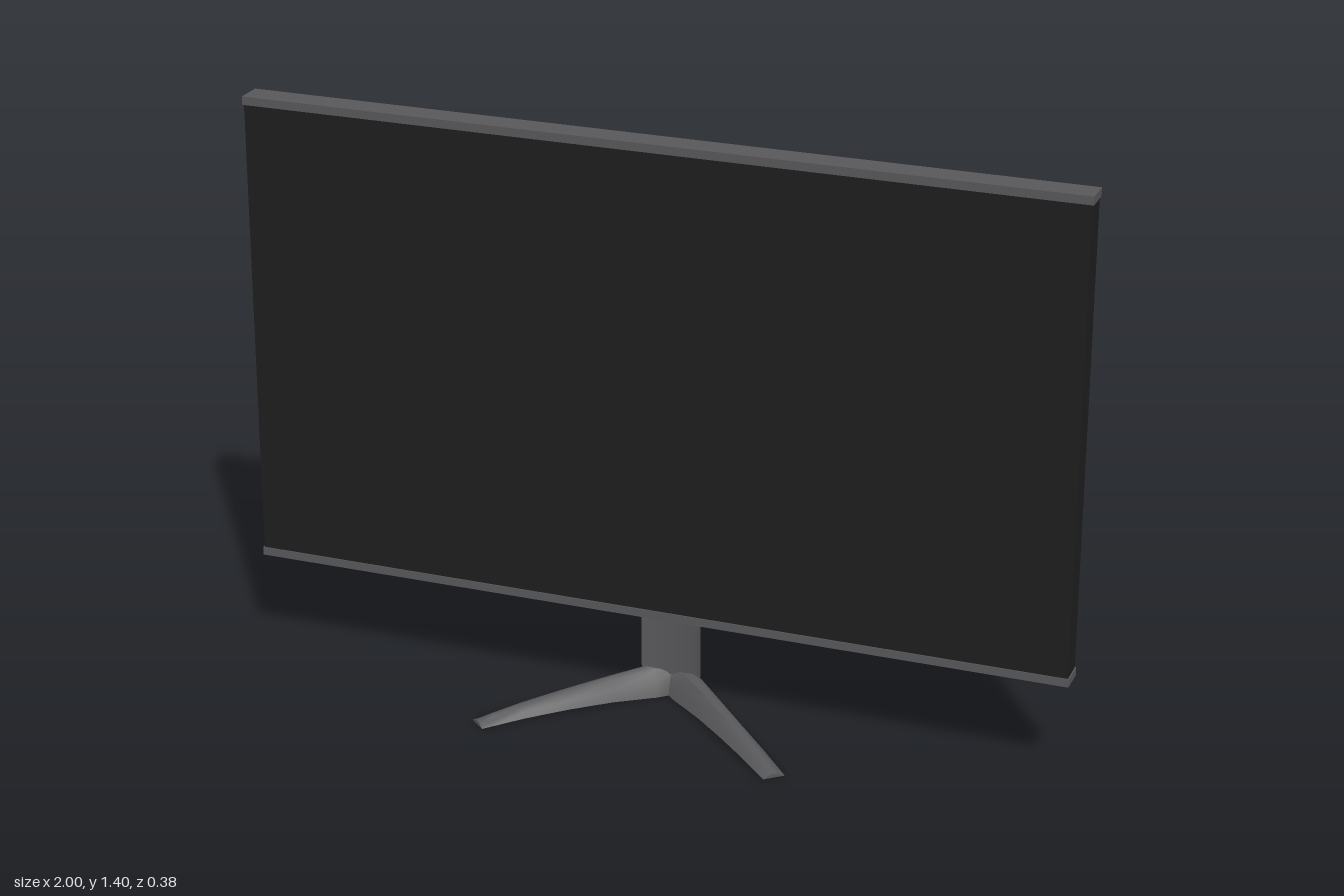
import * as THREE from 'three';
import { toCreasedNormals } from 'three/addons/utils/BufferGeometryUtils.js';

const CX = 0.008; // stand centre line

// V-shaped foot: lofted ring sections running from one toe, round the hub, to the other toe
function footGeometry() {
  // outer x, outer z, inner x, inner z, height, underside lift
  const half = [
    [0, -0.195, 0, -0.13, 0.068, 0],
    [0.066, -0.195, 0.022, -0.11, 0.066, 0],
    [0.146, -0.11, 0.105, -0.035, 0.056, 0.008],
    [0.226, -0.023, 0.187, 0.04, 0.045, 0.01],
    [0.306, 0.063, 0.27, 0.115, 0.031, 0.007],
    [0.362, 0.123, 0.324, 0.164, 0.018, 0.002],
    [0.387, 0.15, 0.347, 0.185, 0.009, 0],
  ];
  const mirrored = half.slice(1).reverse().map(([a, b, c, ...r]) => [-a, b, -c, ...r]);
  const stations = [...mirrored, ...half];
  // position across the leg, share of the height
  const section = [[0, 0], [0.2, 0.55], [0.36, 0.92], [0.5, 1], [0.66, 0.9], [0.84, 0.52], [1, 0]];
  const n = section.length;
  const pos = [];
  for (const [ox, oz, ix, iz, h, lift] of stations)
    for (const [t, s] of section)
      pos.push(CX + ox + (ix - ox) * t, lift + (h - lift) * s, oz + (iz - oz) * t);
  const index = [];
  for (let i = 0; i < stations.length - 1; i++)
    for (let k = 0; k < n; k++) {
      const a = i * n + k, b = i * n + (k + 1) % n;
      index.push(a, b, a + n, b, b + n, a + n);
    }
  // toe end faces
  const last = (stations.length - 1) * n;
  for (let k = 1; k < n - 1; k++) index.push(0, k + 1, k, last, last + k, last + k + 1);
  const g = new THREE.BufferGeometry();
  g.setAttribute('position', new THREE.Float32BufferAttribute(pos, 3));
  g.setIndex(index);
  return toCreasedNormals(g, 0.6);
}

// Upright plate, bowed towards the back
function neckGeometry() {
  const w = 0.07, steps = 12;
  const bow = (x, edge) => edge + 0.01 * (1 - (x / w) ** 2);
  const pts = [];
  for (let i = 0; i <= steps; i++) {
    const x = -w + 2 * w * i / steps;
    pts.push(new THREE.Vector2(x, bow(x, 0.135)));
  }
  for (let i = steps; i >= 0; i--) {
    const x = -w + 2 * w * i / steps;
    pts.push(new THREE.Vector2(x, bow(x, 0.158)));
  }
  const g = new THREE.ExtrudeGeometry(new THREE.Shape(pts), { depth: 0.35, bevelEnabled: false });
  g.rotateX(-Math.PI / 2);
  g.translate(CX, 0.05, 0);
  return toCreasedNormals(g, 0.6);
}

export function createModel() {
  const model = new THREE.Group();
  model.name = 'monitor';
  const grey = new THREE.MeshStandardMaterial({ color: 0x58585a });
  grey.name = 'grey plastic';
  const black = new THREE.MeshStandardMaterial({ color: 0x1e1e1e });
  black.name = 'black screen';

  const add = (name, geometry, material, x = 0, y = 0, z = 0) => {
    const mesh = new THREE.Mesh(geometry, material);
    mesh.name = name;
    mesh.position.set(x, y, z);
    model.add(mesh);
  };

  // Panel: dark front and sides, grey back
  add('screenPanel', new THREE.BoxGeometry(1.994, 1.12, 0.061), [black, black, grey, grey, black, grey], 0, 0.8275, -0.0575);

  // Trim bars along the top and bottom edges
  for (const [name, y] of [['topTrim', 1.395], ['bottomTrim', 0.26]])
    add(name, new THREE.BoxGeometry(2, 0.02, 0.066), grey, 0, y, -0.0575);

  // Stand
  add('neck', neckGeometry(), grey);
  add('foot', footGeometry(), grey);
  return model;
}
